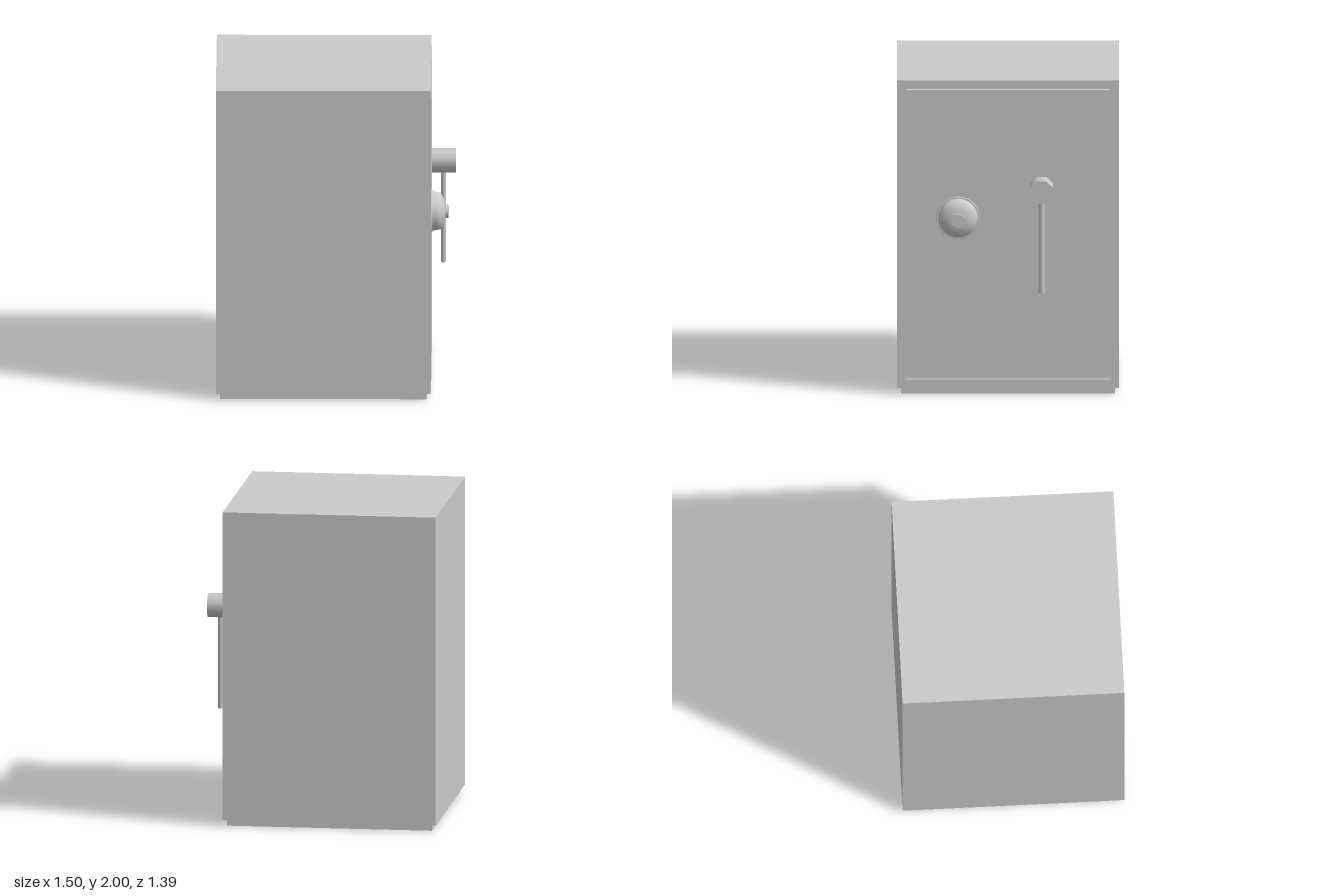
import * as THREE from 'three';

const material = new THREE.MeshStandardMaterial({ color: 0xcccccc });

function add(parent, name, geometry, x, y, z) {
  const mesh = new THREE.Mesh(geometry, material);
  mesh.name = name;
  mesh.position.set(x, y, z);
  parent.add(mesh);
  return mesh;
}

// Box given by its low and high corners
function addBox(parent, name, [x0, y0, z0], [x1, y1, z1]) {
  return add(parent, name, new THREE.BoxGeometry(x1 - x0, y1 - y0, z1 - z0),
    (x0 + x1) / 2, (y0 + y1) / 2, (z0 + z1) / 2);
}

// Rectangle outline, centred on x = 0
function rectangle(Outline, half, bottom, top) {
  return new Outline([[-half, bottom], [half, bottom], [half, top], [-half, top]]
    .map(([x, y]) => new THREE.Vector2(x, y)));
}

// Smooth octagonal rod with its flats facing the axes
function octagonalRod(radius, length) {
  return new THREE.CylinderGeometry(radius, radius, length, 8, 1, false, Math.PI / 8);
}

export function createModel() {
  const safe = new THREE.Group();
  safe.name = 'safe';
  const faceX = 0.595, recessX = 0.565;

  // Cabinet and its inset plinth
  addBox(safe, 'plinth', [-0.725, 0, -0.67], [0.57, 0.04, 0.67]);
  addBox(safe, 'cabinet', [-0.75, 0.04, -0.695], [recessX, 2, 0.695]);

  // Door frame, with a recess for the door
  const outline = rectangle(THREE.Shape, 0.695, 0.04, 2);
  outline.holes.push(rectangle(THREE.Path, 0.645, 0.095, 1.95));
  const frame = new THREE.ExtrudeGeometry(outline, { depth: faceX - recessX, bevelEnabled: false });
  frame.rotateY(Math.PI / 2);
  add(safe, 'doorFrame', frame, recessX, 0, 0);

  // Door, leaving a narrow groove all round
  addBox(safe, 'door', [recessX, 0.105, -0.635], [0.598, 1.94, 0.635]);

  // Combination dial: flange, domed body and centre knob
  const dial = new THREE.Group();
  dial.name = 'combinationDial';
  dial.position.set(0.596, 1.125, 0.312);
  dial.rotation.z = -Math.PI / 2;
  safe.add(dial);
  add(dial, 'dialFlange', new THREE.CylinderGeometry(0.133, 0.137, 0.008, 32), 0, 0.004, 0);
  const dome = [[0.125, 0.004], [0.12, 0.03], [0.115, 0.06], [0.08, 0.076], [0.045, 0.089], [0, 0.089]];
  add(dial, 'dialBody', new THREE.LatheGeometry(dome.map(([r, y]) => new THREE.Vector2(r, y)), 32), 0, 0, 0);
  add(dial, 'dialKnob', new THREE.CylinderGeometry(0.043, 0.043, 0.03, 24), 0, 0.095, 0);

  // Door handle: octagonal hub and hanging lever
  const handle = new THREE.Group();
  handle.name = 'doorHandle';
  handle.position.set(0, 1.315, -0.212);
  safe.add(handle);
  const hub = octagonalRod(0.077, 0.155);
  hub.rotateZ(-Math.PI / 2);
  add(handle, 'handleHub', hub, 0.6725, 0, 0);
  const lever = octagonalRod(0.02, 0.6);
  lever.scale(0.9, 1, 1.05);
  add(handle, 'handleLever', lever, 0.671, -0.355, 0);

  return safe;
}
